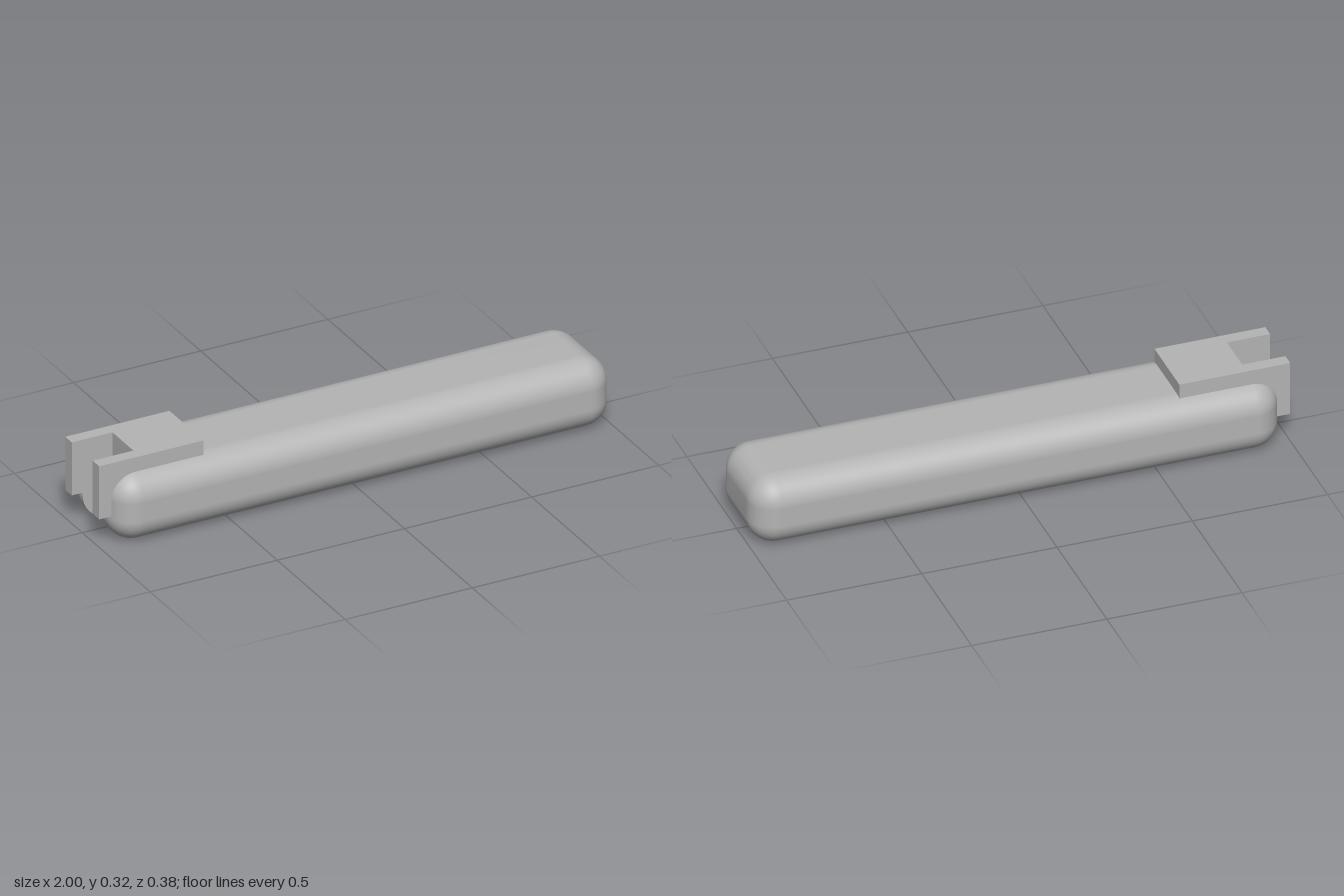
import * as THREE from 'three';
import { toCreasedNormals } from 'three/addons/utils/BufferGeometryUtils.js';
import { RoundedBoxGeometry } from 'three/addons/geometries/RoundedBoxGeometry.js';

const X0 = -0.957, X1 = 1, HEIGHT = 0.267, HALF_DEPTH = 0.191, RADIUS = 0.098;
const SLOT_X = -0.84, SLOT_Z = 0.077; // notch in the left end, cut right through

// One side of the rounded bar, sliced flat at the slot wall
function barSide(side) {
  const geo = new RoundedBoxGeometry(X1 - X0, HEIGHT, HALF_DEPTH * 2, 8, RADIUS);
  const pos = geo.attributes.position, nor = geo.attributes.normal;
  for (let i = 0; i < pos.count; i += 3) {
    let cut = 0;
    for (let j = i; j < i + 3; j++) {
      if (pos.getZ(j) * side < 0) {
        pos.setZ(j, side * SLOT_Z);
        cut++;
      }
    }
    if (cut === 3) for (let j = i; j < i + 3; j++) nor.setXYZ(j, 0, 0, -side);
  }
  geo.clearGroups();
  return geo.translate((X0 + X1) / 2, HEIGHT / 2, 0);
}

// Middle of the bar, stopping at the slot
function barMiddle() {
  const s = new THREE.Shape();
  s.moveTo(SLOT_X, 0);
  s.lineTo(X1 - RADIUS, 0);
  s.absarc(X1 - RADIUS, RADIUS, RADIUS, -Math.PI / 2, 0, false);
  s.absarc(X1 - RADIUS, HEIGHT - RADIUS, RADIUS, 0, Math.PI / 2, false);
  s.lineTo(SLOT_X, HEIGHT);
  const geo = new THREE.ExtrudeGeometry(s, { depth: SLOT_Z * 2, bevelEnabled: false, curveSegments: 8 });
  return toCreasedNormals(geo.translate(0, 0, -SLOT_Z), 0.6);
}

// Forked plate set into the top of the slotted end
function fork() {
  const left = -1, right = -0.59, z = 0.125, bottom = 0.11, top = 0.318;
  const s = new THREE.Shape([
    [left, -z], [right, -z], [right, z], [left, z],
    [left, SLOT_Z], [SLOT_X, SLOT_Z], [SLOT_X, -SLOT_Z], [left, -SLOT_Z],
  ].map(([x, y]) => new THREE.Vector2(x, y)));
  const geo = new THREE.ExtrudeGeometry(s, { depth: top - bottom, bevelEnabled: false });
  return geo.rotateX(-Math.PI / 2).translate(0, bottom, 0);
}

export function createModel() {
  const grey = new THREE.MeshStandardMaterial({ color: 0xb4b4b4 });
  grey.name = 'grey';
  const model = new THREE.Group();
  model.name = 'slottedHandle';
  const add = (name, geo) => {
    const mesh = new THREE.Mesh(geo, grey);
    mesh.name = name;
    model.add(mesh);
  };
  add('barFrontSide', barSide(1));
  add('barBackSide', barSide(-1));
  add('barMiddle', barMiddle());
  add('forkPlate', fork());
  return model;
}
